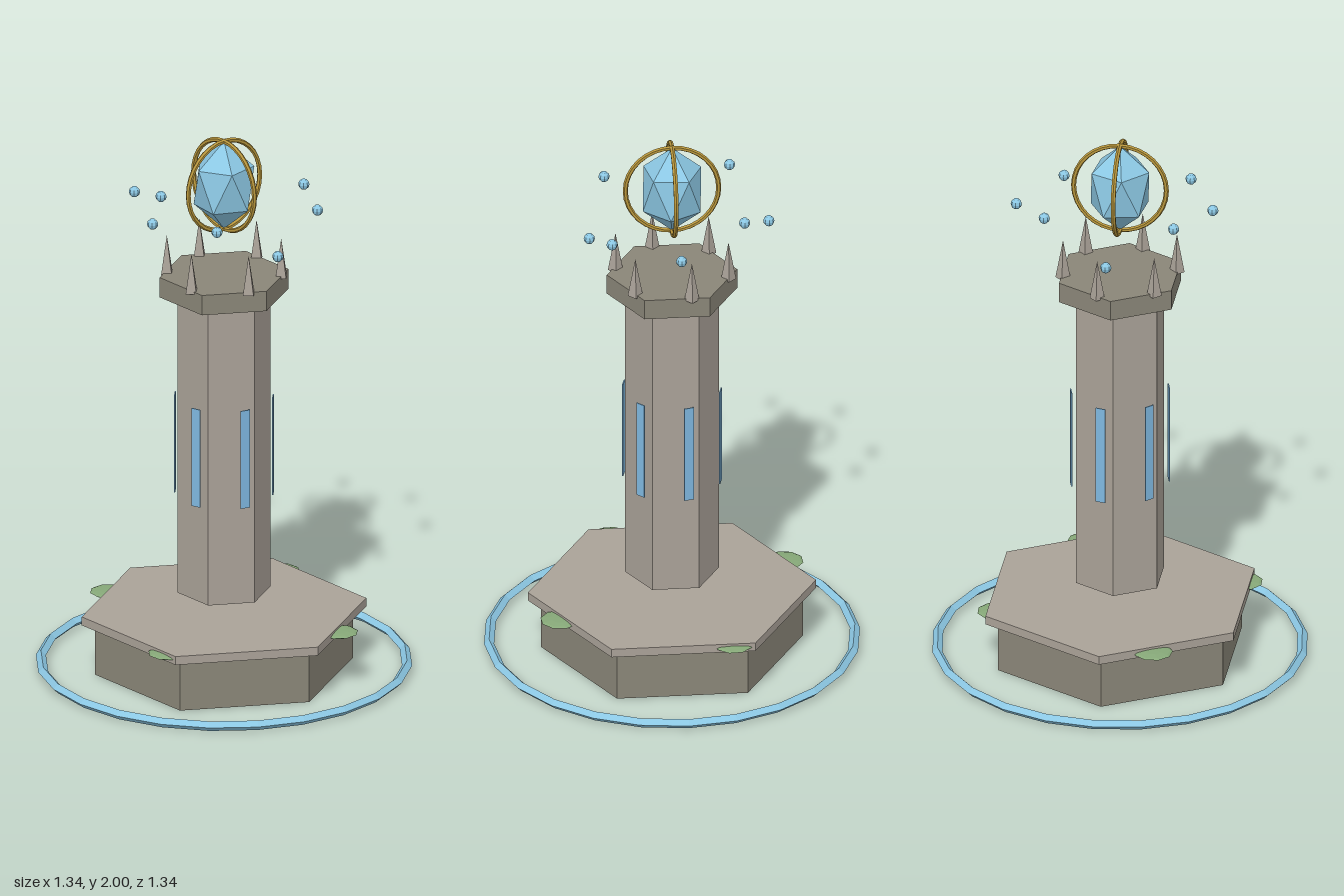
import * as THREE from 'three';

const mat = (color) => new THREE.MeshStandardMaterial({ color, flatShading: true });
const stone = mat(0xaaa298);
const darkStone = mat(0x8a8678);
const glow = mat(0x8cc8e4);
const strip = mat(0x7fb8e0);
const gold = mat(0xb8963c);
const green = mat(0x86a878);

export function createModel() {
  const model = new THREE.Group();

  const add = (name, geometry, material, x = 0, y = 0, z = 0) => {
    const mesh = new THREE.Mesh(geometry, material);
    mesh.name = name;
    mesh.position.set(x, y, z);
    model.add(mesh);
    return mesh;
  };

  // Hexagonal prism with a corner towards the front
  const hexPrism = (name, radius, bottom, top, material) =>
    add(name, new THREE.CylinderGeometry(radius, radius, top - bottom, 6), material, 0, (bottom + top) / 2, 0);

  // Stepped base, floating pillar and cap
  hexPrism('basePlinth', 0.465, 0, 0.19, darkStone);
  hexPrism('baseSlab', 0.512, 0.19, 0.222, stone);
  hexPrism('pillar', 0.167, 0.29, 1.403, stone);
  hexPrism('cap', 0.232, 1.415, 1.49, darkStone);

  // Faceted ring around the base
  add('groundRing', new THREE.TorusGeometry(0.65, 0.018, 4, 24).rotateX(Math.PI / 2), glow, 0, 0.022, 0);

  // Six spikes on the cap and six strips hovering off the pillar
  const spike = new THREE.ConeGeometry(0.027, 0.147, 4);
  const stripBox = new THREE.BoxGeometry(0.036, 0.37, 0.004);
  for (let i = 0; i < 6; i++) {
    const a = Math.PI / 4 + (i * Math.PI) / 3;
    const c = Math.cos(a), s = Math.sin(a);
    add('capSpike', spike, stone, 0.203 * c, 1.555, 0.203 * s);
    add('pillarStrip', stripBox, strip, 0.174 * c, 0.845, 0.174 * s).rotation.y = Math.PI / 2 - a;
  }

  // Flat moss patches at the slab edge
  const moss = new THREE.SphereGeometry(0.07, 9, 6).scale(1, 0.12, 1);
  for (let i = 0; i < 4; i++) {
    const a = 1.162 + (i * Math.PI) / 2;
    add('mossPatch', moss, green, 0.452 * Math.cos(a), 0.206, 0.452 * Math.sin(a)).rotation.y = Math.PI / 9 - a;
  }

  // Stretched crystal standing on a corner
  const crystal = new THREE.IcosahedronGeometry(0.12, 0)
    .rotateZ(-Math.atan(2 / (1 + Math.sqrt(5))))
    .rotateY(THREE.MathUtils.degToRad(29))
    .scale(1, 1.38, 1);
  add('crystal', crystal, glow, 0, 1.825, 0);

  // Two crossed rings around the crystal
  const hoop = new THREE.TorusGeometry(0.166, 0.009, 6, 32);
  add('crystalHoop', hoop, gold, 0, 1.825, 0);
  add('crystalHoop', hoop, gold, 0, 1.825, 0).rotation.y = Math.PI / 2;

  // Small orbs circling the top: [distance, height], an eighth turn apart
  const orb = new THREE.SphereGeometry(0.02, 8, 6);
  [
    [0.371, 1.735], [0.332, 1.74], [0.294, 1.64], [0.313, 1.766],
    [0.332, 1.76], [0.318, 1.79], [0.344, 1.68], [0.334, 1.805],
  ].forEach(([r, y], i) => {
    const a = (i * Math.PI) / 4;
    add('orb', orb, glow, r * Math.cos(a), y, r * Math.sin(a));
  });

  return model;
}
